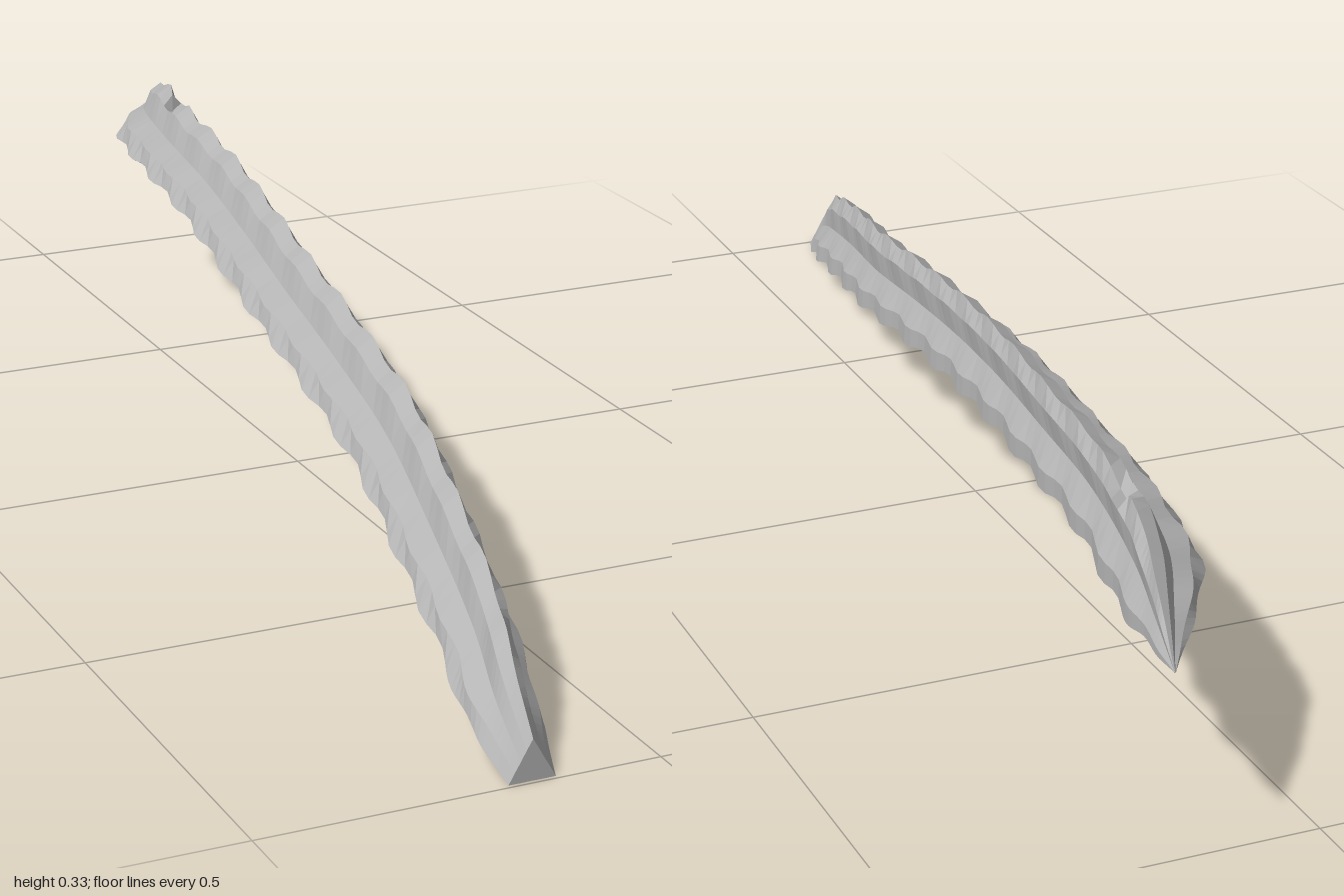
import * as THREE from 'three';

// Stations along the stem: x, y, z of the core, rib radius, twist (degrees)
const stations = [
  [-0.160, 0.023, 0.995, 0.034, 0],
  [-0.143, 0.060, 0.90, 0.053, -5],
  [-0.118, 0.093, 0.80, 0.059, -8],
  [-0.078, 0.140, 0.60, 0.063, -11],
  [-0.040, 0.177, 0.40, 0.064, -13],
  [-0.018, 0.208, 0.20, 0.064, -14],
  [0.002, 0.233, 0.00, 0.064, -15],
  [0.027, 0.254, -0.20, 0.064, -16],
  [0.054, 0.267, -0.40, 0.064, -17],
  [0.078, 0.272, -0.60, 0.064, -17],
  [0.116, 0.266, -0.80, 0.062, -17],
  [0.150, 0.255, -0.90, 0.036, -17],
  [0.187, 0.241, -1.00, 0.001, -17],
];
const core = new THREE.CatmullRomCurve3(stations.map(s => new THREE.Vector3(s[0], s[1], s[2])));
const size = new THREE.CatmullRomCurve3(stations.map(s => new THREE.Vector3(s[3], s[4] / 100, s[2])));

// One third of the section: rib crest, shoulder, valley, shoulder (angle, radius)
const sector = [[0, 1], [20, 0.76], [60, 0.4], [100, 0.76]];
const RINGS = 96;

function sectionRing(t) {
  const c = core.getPoint(t), s = size.getPoint(t);
  const open = THREE.MathUtils.smoothstep(1 - c.z, 0, 0.15); // ribs deepen behind the cut end
  const ring = [];
  for (let rib = 0; rib < 3; rib++) {
    sector.forEach(([deg, rad], i) => {
      const flat = [1, 0.66, 0.5, 0.66][i];
      let r = s.x * THREE.MathUtils.lerp(flat, rad, open);
      // scalloped crests, out of step from rib to rib
      const wave = Math.cos(c.z * Math.PI * 2 / 0.125 + rib * 2.1);
      if (i !== 2) r *= 1 + 0.075 * wave * open;
      // bite out of the upper crest near the tip
      if (rib === 0 && i === 0) r *= 1 - 0.4 * Math.exp(-(((c.z + 0.695) / 0.035) ** 2));
      const a = THREE.MathUtils.degToRad(90 + rib * 120 + deg + s.y * 100);
      ring.push(new THREE.Vector3(c.x + r * Math.cos(a), Math.max(0, c.y + r * Math.sin(a)), c.z));
    });
  }
  return ring;
}

function buildGeometry(triangles) {
  const g = new THREE.BufferGeometry().setFromPoints(triangles);
  g.computeVertexNormals();
  return g;
}

export function createModel() {
  const model = new THREE.Group();
  model.name = 'ribbedStem';
  const grey = new THREE.MeshStandardMaterial({ color: 0xb4b4b4, flatShading: true });
  grey.name = 'stemGrey';

  const rings = Array.from({ length: RINGS + 1 }, (_, k) => sectionRing(k / RINGS));
  const n = rings[0].length;

  // Three-ribbed body swept from the cut end to the tip
  const skin = [];
  for (let k = 0; k < RINGS; k++) {
    for (let i = 0; i < n; i++) {
      const j = (i + 1) % n;
      const a = rings[k][i], b = rings[k][j], c = rings[k + 1][j], d = rings[k + 1][i];
      skin.push(a, d, b, b, d, c);
    }
  }
  const body = new THREE.Mesh(buildGeometry(skin), grey);
  body.name = 'ribbedBody';

  // Flat cut end facing the front, and the closing of the tip
  const fan = (ring, centre, flip) => ring.flatMap((p, i) => {
    const q = ring[(i + 1) % n];
    return flip ? [centre, q, p] : [centre, p, q];
  });
  const cut = new THREE.Mesh(buildGeometry(fan(rings[0], core.getPoint(0), false)), grey);
  cut.name = 'cutEnd';
  const tip = new THREE.Mesh(buildGeometry(fan(rings[RINGS], core.getPoint(1), true)), grey);
  tip.name = 'tip';

  model.add(body, cut, tip);
  return model;
}
